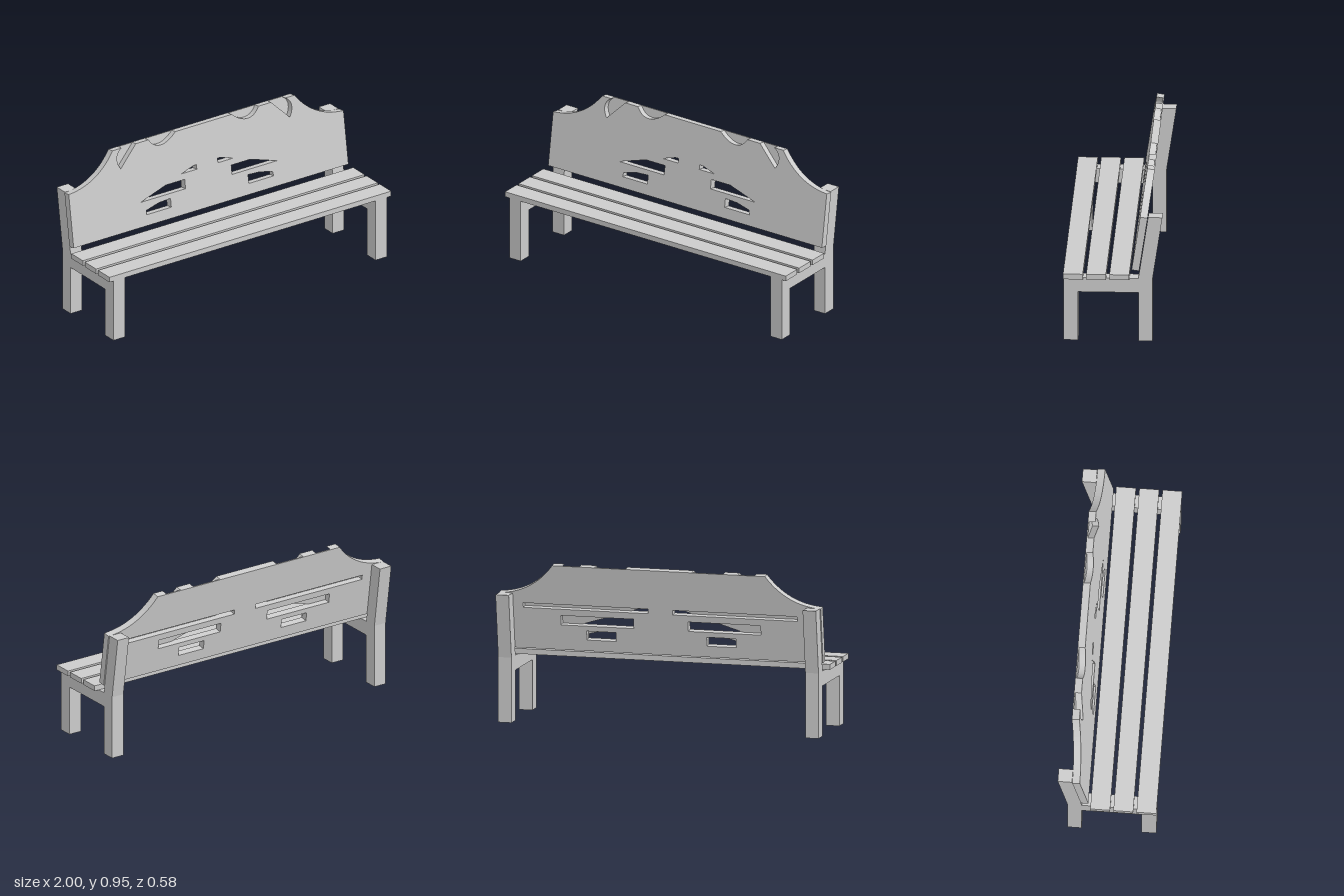
import * as THREE from 'three';

const material = new THREE.MeshStandardMaterial({ color: 0xcccccc });
const TILT = 0.151, BASE_Y = 0.44, BASE_Z = -0.108;

// Height on the bench -> distance along the leaning back panel
const v = (y) => (y - BASE_Y) / Math.cos(TILT);

function add(parent, name, geometry) {
  const mesh = new THREE.Mesh(geometry, material);
  mesh.name = name;
  parent.add(mesh);
  return mesh;
}

function box(parent, name, x0, x1, y0, y1, z0, z1) {
  const mesh = add(parent, name, new THREE.BoxGeometry(x1 - x0, y1 - y0, z1 - z0));
  mesh.position.set((x0 + x1) / 2, (y0 + y1) / 2, (z0 + z1) / 2);
}

// Silhouette of the back panel, optionally with the carved notches along its top
function panelOutline(notched) {
  const s = new THREE.Shape();
  const top = v(0.947), shoulder = v(0.767);
  s.moveTo(-0.975, 0);
  s.lineTo(0.975, 0);
  s.lineTo(0.975, shoulder);
  s.quadraticCurveTo(0.77, v(0.778), 0.645, top);
  if (notched) {
    s.lineTo(0.58, top);
    s.bezierCurveTo(0.63, v(0.92), 0.63, v(0.87), 0.6, v(0.825));
    s.lineTo(0.48, top);
    s.lineTo(0.39, top);
    s.bezierCurveTo(0.35, v(0.88), 0.28, v(0.875), 0.2, top);
    s.lineTo(-0.2, top);
    s.bezierCurveTo(-0.28, v(0.875), -0.35, v(0.88), -0.39, top);
    s.lineTo(-0.48, top);
    s.lineTo(-0.6, v(0.825));
    s.bezierCurveTo(-0.63, v(0.87), -0.63, v(0.92), -0.58, top);
  }
  s.lineTo(-0.645, top);
  s.quadraticCurveTo(-0.77, v(0.778), -0.975, shoulder);
  s.closePath();
  return s;
}

// Feather-like openings on the front and the straight slots behind them
const openings = [
  [[0.075, 0.685], [0.185, 0.685], [0.095, 0.713], [0.075, 0.713]],
  [[0.165, 0.59], [0.485, 0.59], [0.3, 0.647], [0.165, 0.647]],
  [[0.275, 0.506], [0.452, 0.506], [0.447, 0.533], [0.36, 0.555], [0.275, 0.56]],
];
const slot = (x0, x1, y0, y1) => [[x0, y0], [x1, y0], [x1, y1], [x0, y1]];
const slots = [
  slot(0.075, 0.83, 0.685, 0.713),
  slot(0.165, 0.605, 0.59, 0.647),
  slot(0.275, 0.452, 0.506, 0.56),
];

function panelLayer(parent, name, notched, holes, zBack, depth) {
  const shape = panelOutline(notched);
  for (const hole of holes) {
    for (const side of [-1, 1]) {
      shape.holes.push(new THREE.Path(hole.map(([x, y]) => new THREE.Vector2(side * x, v(y)))));
    }
  }
  const geometry = new THREE.ExtrudeGeometry(shape, { depth, bevelEnabled: false, curveSegments: 14 });
  geometry.translate(0, 0, zBack);
  add(parent, name, geometry);
}

export function createModel() {
  const bench = new THREE.Group();
  bench.name = 'bench';

  // Seat slats
  for (const z of [-0.095, 0.04, 0.175]) {
    box(bench, 'seatSlat', -1, 1, 0.385, 0.417, z, z + 0.115);
  }

  // Side frames: front leg, seat rail and a back leg that bends into the leaning post
  const legProfile = new THREE.Shape([
    [-0.23, 0], [-0.147, 0], [-0.147, 0.385], [-0.204, 0.763], [-0.287, 0.763], [-0.23, 0.385],
  ].map(([z, y]) => new THREE.Vector2(-z, y)));
  for (const x of [-0.97, 0.89]) {
    const frame = new THREE.Group();
    frame.name = x < 0 ? 'rightFrame' : 'leftFrame';
    box(frame, 'frontLeg', x, x + 0.08, 0, 0.385, 0.203, 0.288);
    box(frame, 'seatRail', x, x + 0.08, 0.298, 0.385, -0.147, 0.203);
    const leg = new THREE.ExtrudeGeometry(legProfile, { depth: 0.08, bevelEnabled: false });
    leg.rotateY(Math.PI / 2);
    leg.translate(x, 0, 0);
    add(frame, 'backLeg', leg);
    bench.add(frame);
  }

  // Leaning back panel: thin carved face, slotted core and thin rear skin
  const back = new THREE.Group();
  back.name = 'backPanel';
  panelLayer(back, 'panelFace', true, openings, -0.008, 0.008);
  panelLayer(back, 'panelCore', true, slots, -0.037, 0.029);
  panelLayer(back, 'panelRear', false, slots, -0.044, 0.007);
  back.position.set(0, BASE_Y, BASE_Z);
  back.rotation.x = -TILT;
  bench.add(back);

  return bench;
}
